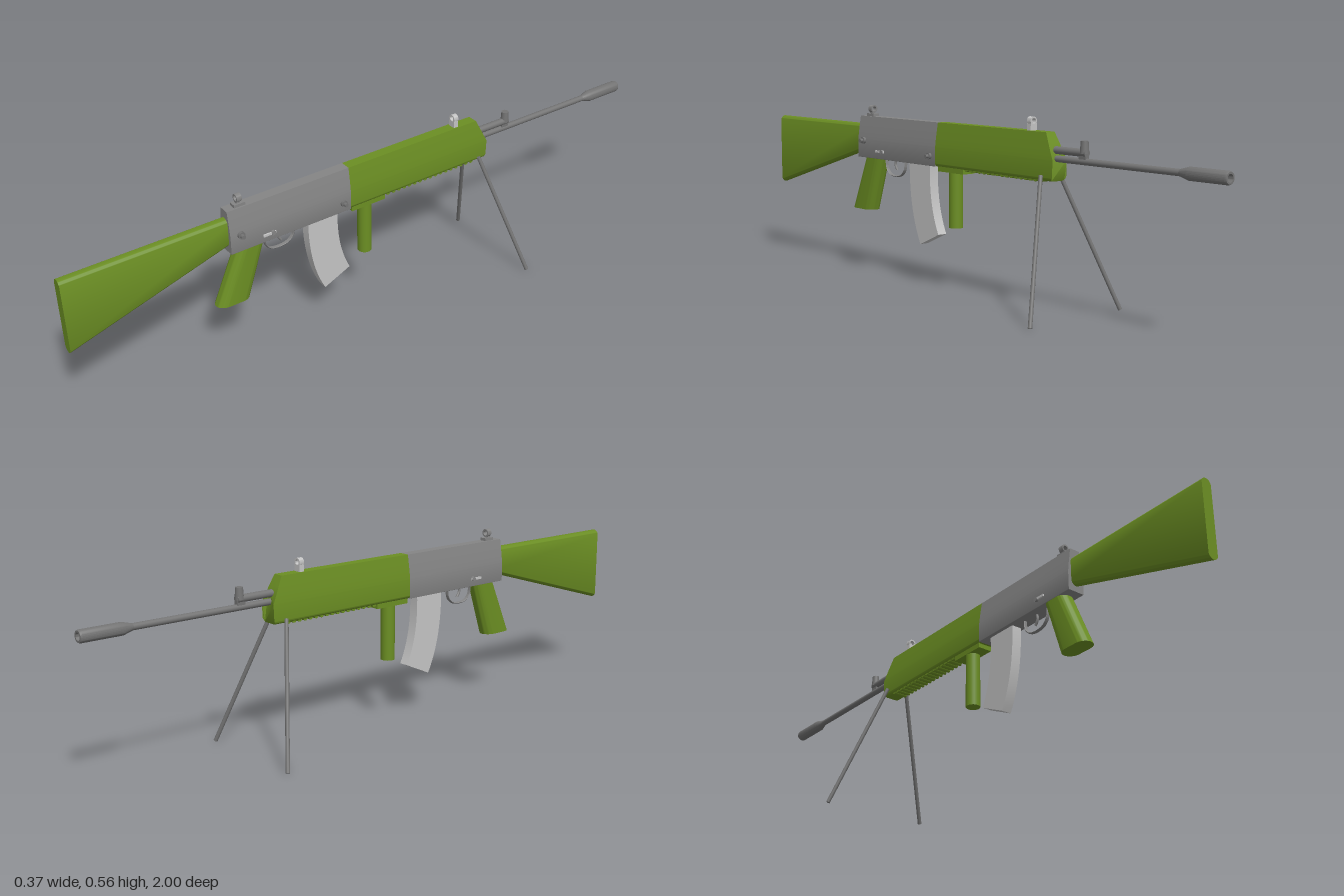
import * as THREE from 'three';
import { toCreasedNormals } from 'three/addons/utils/BufferGeometryUtils.js';

const mat = (name, color) => {
  const m = new THREE.MeshStandardMaterial({ color });
  m.name = name;
  return m;
};

export function createModel() {
  const green = mat('olive green', 0x6b8e23);
  const grey = mat('mid grey', 0x858585);
  const steel = mat('dark steel', 0x747474);
  const light = mat('light grey', 0xc4c4c4);
  const model = new THREE.Group();

  const add = (name, geo, material, x = 0, y = 0, z = 0) => {
    const mesh = new THREE.Mesh(geo, material);
    mesh.name = name;
    mesh.position.set(x, y, z);
    model.add(mesh);
    return mesh;
  };
  const box = (name, m, w, h, d, x, y, z) => add(name, new THREE.BoxGeometry(w, h, d), m, x, y, z);
  // Cylinder between two points
  const rod = (name, m, a, b, r, r2 = r, seg = 20) => {
    const A = new THREE.Vector3(...a), B = new THREE.Vector3(...b);
    const dir = B.clone().sub(A);
    const mesh = add(name, new THREE.CylinderGeometry(r2, r, dir.length(), seg), m);
    mesh.position.copy(A).add(B).multiplyScalar(0.5);
    mesh.quaternion.setFromUnitVectors(new THREE.Vector3(0, 1, 0), dir.normalize());
    return mesh;
  };
  const extrude = (shape, depth) =>
    new THREE.ExtrudeGeometry(shape, { depth, bevelEnabled: false, curveSegments: 12 });
  // Move each vertex by a rule, then rebuild the normals
  const bend = (geo, rule, crease = 0.7) => {
    const p = geo.attributes.position, v = new THREE.Vector3();
    for (let i = 0; i < p.count; i++) {
      v.fromBufferAttribute(p, i);
      rule(v);
      p.setXYZ(i, v.x, v.y, v.z);
    }
    return toCreasedNormals(geo, crease);
  };

  // Cross-section shared by receiver and handguard
  const section = (r) => {
    const s = new THREE.Shape();
    s.moveTo(-0.028 + r, 0.38);
    s.lineTo(0.028 - r, 0.38);
    s.quadraticCurveTo(0.028, 0.38, 0.028, 0.38 + r);
    s.lineTo(0.028, 0.435);
    s.quadraticCurveTo(0.027, 0.455, 0.0165, 0.516);
    s.lineTo(-0.0165, 0.516);
    s.quadraticCurveTo(-0.027, 0.455, -0.028, 0.435);
    s.lineTo(-0.028, 0.38 + r);
    s.quadraticCurveTo(-0.028, 0.38, -0.028 + r, 0.38);
    return s;
  };
  add('receiver', toCreasedNormals(extrude(section(0.001), 0.405), 0.5), grey, 0, 0, 0.1);

  // Handguard with its muzzle end sloping back at top and bottom
  add('handguard', bend(extrude(section(0.012), 0.515), (v) => {
    if (v.z < 0.01) v.z += Math.max(0, v.y - 0.44) * 0.5 + Math.max(0, 0.395 - v.y) * 0.5;
    v.z -= 0.415;
  }, 0.6), green);
  for (let i = 0; i < 17; i++) {
    const rib = add('handguardRib', new THREE.CylinderGeometry(0.007, 0.007, 0.046, 10), green, 0, 0.382, -0.04 - i * 0.02);
    rib.rotation.z = Math.PI / 2;
  }

  // Stock: a capsule section that deepens toward the butt
  const capsule = new THREE.Shape();
  capsule.absarc(0, 0.473, 0.017, 0, Math.PI, false);
  capsule.absarc(0, 0.417, 0.017, Math.PI, Math.PI * 2, false);
  capsule.closePath();
  add('stock', bend(extrude(capsule, 0.5), (v) => {
    if (v.y < 0.445) v.y -= 0.15 * v.z / 0.5;
    v.z += 0.5;
  }), green);

  // Pistol grip: rounded section, leaning and widening downward
  const gripSection = new THREE.Shape();
  gripSection.absellipse(0, 0.018, 0.027, 0.025, 0, Math.PI, false);
  gripSection.absellipse(0, -0.018, 0.027, 0.025, Math.PI, Math.PI * 2, false);
  gripSection.closePath();
  add('pistolGrip', bend(extrude(gripSection, 0.185).rotateX(Math.PI / 2), (v) => {
    const t = -v.y / 0.185;
    v.z = v.z * (1 + 0.26 * t) + 0.43 + 0.07 * t;
    v.y += 0.39;
  }), green);

  // Curved magazine
  const mag = new THREE.Shape();
  mag.moveTo(0.243, 0.39);
  mag.bezierCurveTo(0.245, 0.29, 0.23, 0.2, 0.19, 0.124);
  mag.lineTo(0.1, 0.165);
  mag.bezierCurveTo(0.13, 0.225, 0.145, 0.3, 0.14, 0.39);
  add('magazine', toCreasedNormals(extrude(mag, 0.032).rotateY(-Math.PI / 2), 0.5), light, 0.016);

  // Vertical foregrip on its mounting plate
  box('foregripPlate', green, 0.046, 0.016, 0.12, 0, 0.374, 0.033);
  rod('foregrip', green, [0, 0.195, 0.033], [0, 0.372, 0.033], 0.022, 0.022, 28);

  // Trigger and guard
  const guard = new THREE.CatmullRomCurve3([[0.385, 0.385], [0.38, 0.35], [0.36, 0.331], [0.31, 0.331], [0.288, 0.35], [0.283, 0.385]]
    .map(([z, y]) => new THREE.Vector3(0, y, z)));
  add('triggerGuard', bend(new THREE.TubeGeometry(guard, 40, 0.003, 8), (v) => { v.x *= 2; }, 1.2), grey);
  const trig = new THREE.CatmullRomCurve3([[0.335, 0.385], [0.338, 0.365], [0.328, 0.347]]
    .map(([z, y]) => new THREE.Vector3(0, y, z)));
  add('trigger', new THREE.TubeGeometry(trig, 12, 0.004, 8), grey);

  // Barrel, gas tube and hollow muzzle
  rod('barrel', steel, [0, 0.443, -0.4], [0, 0.443, -0.87], 0.0095);
  rod('gasTube', steel, [0, 0.467, -0.4], [0, 0.467, -0.52], 0.011);
  box('gasBlock', steel, 0.014, 0.034, 0.026, 0, 0.455, -0.508);
  rod('frontSightPost', steel, [0, 0.465, -0.51], [0, 0.5, -0.51], 0.013, 0.011);
  const muzzle = [[0.0095, -0.845], [0.018, -0.875], [0.018, -0.995], [0.016, -1], [0.011, -1], [0.01, -0.94], [0, -0.94]]
    .map(([r, z]) => new THREE.Vector2(r, -z));
  const muzzleMesh = add('muzzle', toCreasedNormals(new THREE.LatheGeometry(muzzle, 28), 0.5), steel, 0, 0.443, 0);
  muzzleMesh.rotation.x = -Math.PI / 2;

  // Hooded sights on top
  const ring = new THREE.Shape();
  ring.absarc(0, 0, 0.0125, 0, Math.PI * 2, false);
  const hole = new THREE.Path();
  hole.absarc(0, 0, 0.008, 0, Math.PI * 2, true);
  ring.holes.push(hole);
  const ringGeo = toCreasedNormals(extrude(ring, 0.016), 0.6);
  box('forwardSightBase', light, 0.024, 0.022, 0.016, 0, 0.525, -0.302);
  add('forwardSightHood', ringGeo, light, 0, 0.543, -0.31);
  box('forwardSightPin', light, 0.003, 0.012, 0.004, 0, 0.538, -0.302);
  box('rearSightBase', grey, 0.022, 0.012, 0.036, 0, 0.519, 0.46);
  box('rearSightStem', grey, 0.012, 0.014, 0.012, 0, 0.526, 0.462);
  add('rearSightRing', ringGeo, grey, 0, 0.54, 0.452);

  // Side knobs
  for (const [y, z, r] of [[0.436, 0.472, 0.011], [0.411, 0.127, 0.01]]) {
    rod('knobFlange', steel, [0.025, y, z], [0.036, y, z], r);
    rod('knob', steel, [0.034, y, z], [0.046, y, z], r * 0.6);
  }

  // Mirrored selector levers and bipod legs
  for (const s of [-1, 1]) {
    rod('selectorPivot', grey, [s * 0.026, 0.405, 0.37], [s * 0.036, 0.405, 0.37], 0.007);
    box('selectorLever', light, 0.005, 0.007, 0.042, s * 0.032, 0.405, 0.382);
    rod('bipodLeg', steel, [s * 0.037, 0.396, -0.378], [s * 0.178, 0.002, -0.488], 0.0062, 0.0062, 16);
  }
  return model;
}
